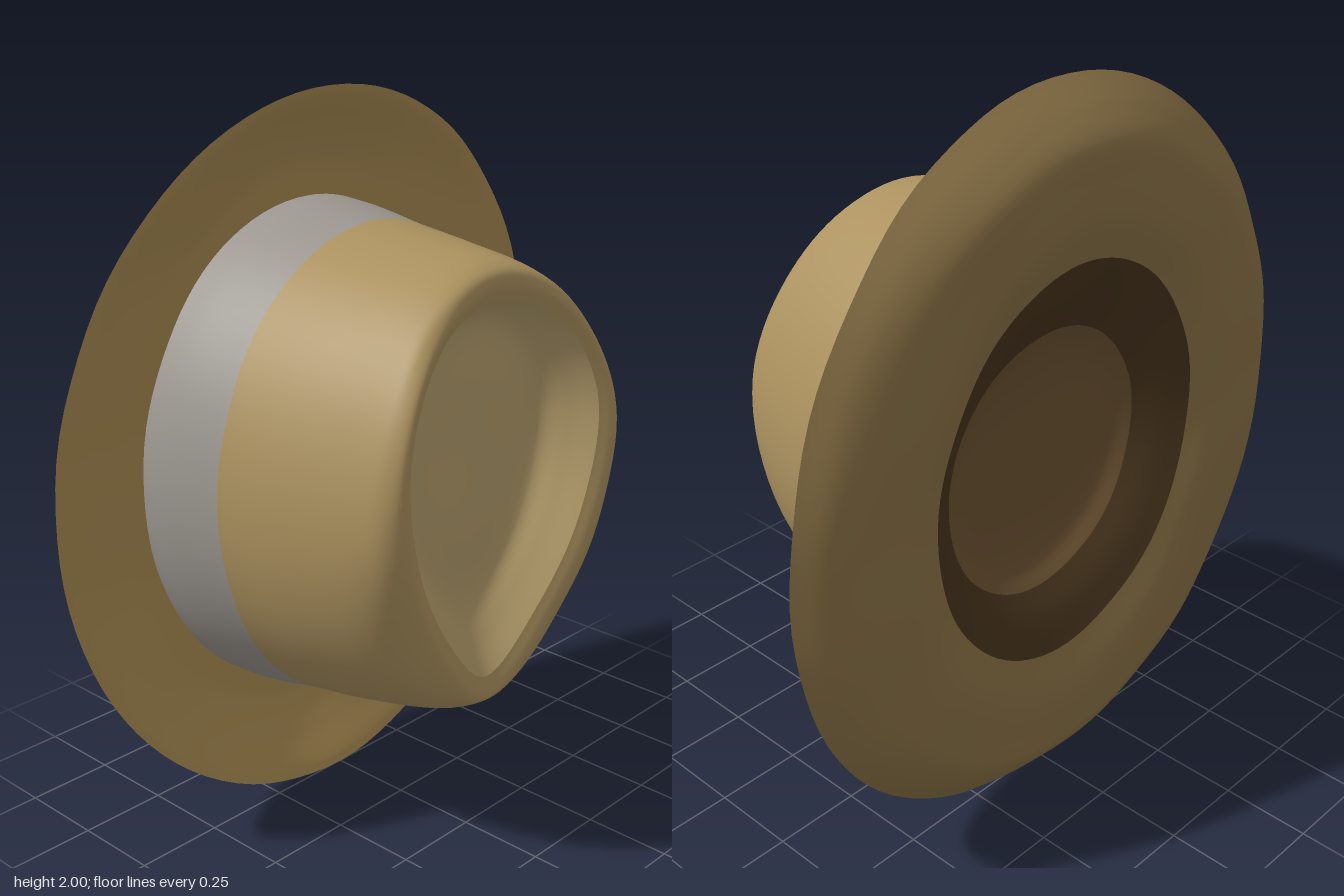
import * as THREE from 'three';

const SIDES = 96;

// One point of a teardrop-like ring:
// [rx, centre y, top radius, bottom radius, z, side bow, taper, sideways tilt]
function ringPoint([rx, cy, top, bottom, z, bow = 0, tear = 0, tilt = 0], a) {
  const c = Math.cos(a), s = Math.sin(a);
  const narrow = s < 0 ? 1 - tear * s * s : 1;
  return new THREE.Vector3(rx * c * narrow, cy + (s > 0 ? top : bottom) * s, z + bow * c * c + tilt * c);
}

// Gentle uneven felt surface
function ruffle(p) {
  p.z += 0.004 * Math.sin(9 * p.x + 4 * p.y + 5 * p.z) * Math.sin(11 * p.y - 5 * p.x + 3 * p.z);
  return p;
}

// Smooth skin through a list of rings
function loft(name, color, rings, steps = 6) {
  const rows = (rings.length - 1) * steps;
  const pos = new Float32Array((rows + 1) * SIDES * 3);
  const index = [];
  for (let i = 0; i < SIDES; i++) {
    const a = (i / SIDES) * Math.PI * 2;
    const curve = new THREE.CatmullRomCurve3(rings.map((r) => ringPoint(r, a)));
    for (let j = 0; j <= rows; j++) {
      ruffle(curve.getPoint(j / rows)).toArray(pos, (j * SIDES + i) * 3);
      if (j === rows) continue;
      const n = (i + 1) % SIDES, p = j * SIDES, q = p + SIDES;
      index.push(p + i, p + n, q + n, p + i, q + n, q + i);
    }
  }
  const geo = new THREE.BufferGeometry();
  geo.setAttribute('position', new THREE.BufferAttribute(pos, 3));
  geo.setIndex(index);
  geo.computeVertexNormals();
  const mesh = new THREE.Mesh(geo, new THREE.MeshStandardMaterial({ color, side: THREE.DoubleSide }));
  mesh.name = name;
  return mesh;
}

export function createModel() {
  const hat = new THREE.Group();
  hat.name = 'hat';

  // Shallow lining, from its centre out to the dark sweatband
  hat.add(loft('lining', 0x6b5232, [
    [0, 0.97, 0, 0, -0.2],
    [0.2, 0.97, 0.21, 0.21, -0.205],
    [0.31, 0.97, 0.32, 0.33, -0.225],
    [0.36, 0.98, 0.37, 0.385, -0.255],
  ]));
  hat.add(loft('sweatband', 0x46331c, [
    [0.36, 0.98, 0.37, 0.385, -0.255],
    [0.42, 1, 0.46, 0.47, -0.305],
    [0.49, 1, 0.56, 0.56, -0.35],
  ]));

  // Brim: underside, thin edge and dished upper face
  hat.add(loft('brimUnderside', 0x8a7246, [
    [0.49, 1, 0.56, 0.56, -0.35],
    [0.59, 1, 0.68, 0.68, -0.386],
    [0.7, 1, 0.78, 0.78, -0.387],
    [0.78, 1, 0.86, 0.86, -0.378, 0, 0, -0.003],
    [0.855, 1, 0.93, 0.93, -0.325, -0.025, 0, -0.012],
    [0.925, 1, 1, 1, -0.25, -0.05, 0, -0.02],
  ]));
  hat.add(loft('brimTop', 0xa98b52, [
    [0.925, 1, 1, 1, -0.25, -0.05, 0, -0.02],
    [0.9, 1, 0.975, 0.975, -0.257, -0.045, 0, -0.018],
    [0.8, 1, 0.88, 0.88, -0.302, -0.02, 0, -0.01],
    [0.68, 1, 0.78, 0.78, -0.34],
    [0.6, 1, 0.7, 0.7, -0.35],
  ]));

  // Grey ribbon around the base of the crown
  hat.add(loft('ribbon', 0x9c9790, [
    [0.6, 1, 0.7, 0.7, -0.35],
    [0.594, 1, 0.692, 0.695, -0.26],
    [0.566, 1, 0.667, 0.665, -0.1],
  ]));

  // Crown wall rolling over into the pinched rim
  hat.add(loft('crown', 0xac925f, [
    [0.566, 1, 0.667, 0.665, -0.1],
    [0.533, 1, 0.643, 0.635, 0.1],
    [0.487, 1.01, 0.605, 0.607, 0.285, 0.01, 0.1],
    [0.46, 1.06, 0.533, 0.64, 0.322, 0.045, 0.26],
    [0.415, 1.13, 0.43, 0.7, 0.33, 0.069, 0.42],
    [0.375, 1.14, 0.385, 0.65, 0.32, 0.058, 0.45],
  ]));

  // Shallow teardrop dent in the crown
  hat.add(loft('crownDent', 0xb59e6c, [
    [0.375, 1.14, 0.385, 0.65, 0.32, 0.058, 0.45],
    [0.335, 1.15, 0.345, 0.57, 0.275, 0.03, 0.42],
    [0.285, 1.15, 0.3, 0.48, 0.243, 0, 0.35],
    [0.15, 1.13, 0.16, 0.24, 0.24, 0, 0.2],
    [0, 1.12, 0, 0, 0.242],
  ]));

  // Button on the left of the ribbon
  const button = new THREE.Group();
  button.name = 'button';
  const material = new THREE.MeshStandardMaterial({ color: 0x806a44 });
  const disc = new THREE.Mesh(new THREE.CylinderGeometry(0.045, 0.05, 0.014, 32), material);
  disc.name = 'buttonDisc';
  disc.rotation.z = -Math.PI / 2;
  const rim = new THREE.Mesh(new THREE.TorusGeometry(0.047, 0.011, 10, 32), material);
  rim.name = 'buttonRim';
  rim.rotation.y = Math.PI / 2;
  rim.position.x = 0.003;
  button.add(disc, rim);
  button.position.set(0.592, 1.01, -0.23);
  button.rotation.y = 0.15;
  hat.add(button);

  return hat;
}
